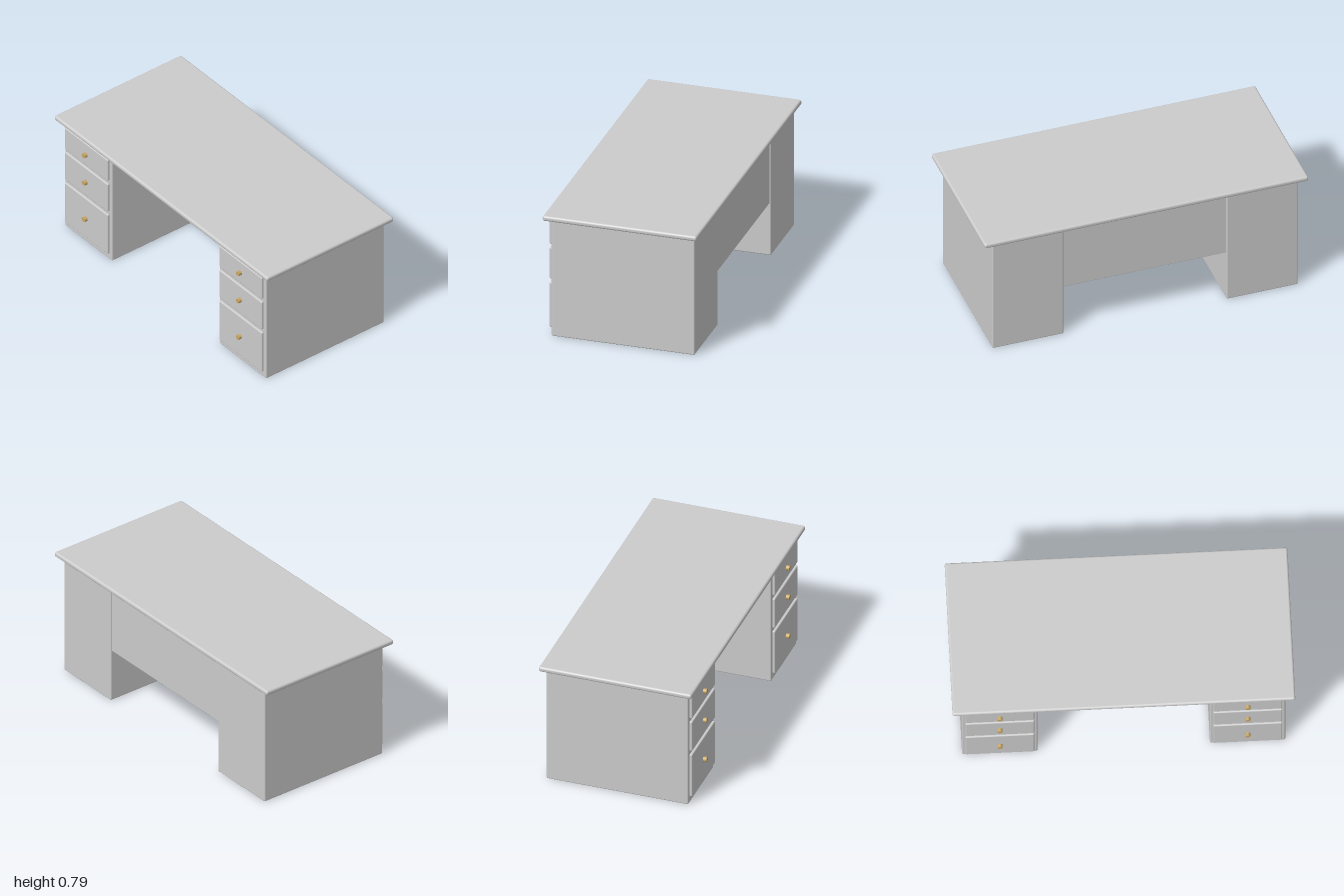
import * as THREE from 'three';
import { RoundedBoxGeometry } from 'three/addons/geometries/RoundedBoxGeometry.js';

const grey = new THREE.MeshStandardMaterial({ color: 0xcccccc });
const brass = new THREE.MeshStandardMaterial({ color: 0xc8a868 });

// Rounded box given by its [min, max] extent on each axis
function slab(name, [x0, x1], [y0, y1], [z0, z1], radius) {
  const geometry = new RoundedBoxGeometry(x1 - x0, y1 - y0, z1 - z0, 4, radius);
  const mesh = new THREE.Mesh(geometry, grey);
  mesh.name = name;
  mesh.position.set((x0 + x1) / 2, (y0 + y1) / 2, (z0 + z1) / 2);
  return mesh;
}

// Bottom, top and knob height of each drawer
const drawers = [
  { name: 'topDrawer', y: [0.58, 0.735], knobY: 0.657 },
  { name: 'middleDrawer', y: [0.357, 0.557], knobY: 0.457 },
  { name: 'bottomDrawer', y: [0.046, 0.333], knobY: 0.19 },
];

// Cabinet with three drawer fronts, centred on x
function createPedestal(name, x) {
  const pedestal = new THREE.Group();
  pedestal.name = name;
  pedestal.add(slab('cabinet', [-0.22, 0.22], [0, 0.756], [-0.443, 0.434], 0.008));

  for (const { name: drawerName, y, knobY } of drawers) {
    const drawer = new THREE.Group();
    drawer.name = drawerName;
    drawer.add(slab('drawerFront', [-0.201, 0.201], y, [0.433, 0.452], 0.007));
    const knob = new THREE.Mesh(new THREE.CylinderGeometry(0.015, 0.015, 0.024, 24), brass);
    knob.name = 'knob';
    knob.rotation.x = Math.PI / 2;
    knob.position.set(0, knobY, 0.461);
    drawer.add(knob);
    pedestal.add(drawer);
  }
  pedestal.position.x = x;
  return pedestal;
}

export function createModel() {
  const desk = new THREE.Group();
  desk.name = 'desk';
  desk.add(slab('desktop', [-1, 1], [0.757, 0.789], [-0.472, 0.472], 0.013));
  desk.add(createPedestal('leftPedestal', 0.723));
  desk.add(createPedestal('rightPedestal', -0.723));
  // Panel closing the knee space at the back
  desk.add(slab('modestyPanel', [-0.51, 0.51], [0.335, 0.737], [-0.435, -0.413], 0.004));
  return desk;
}
